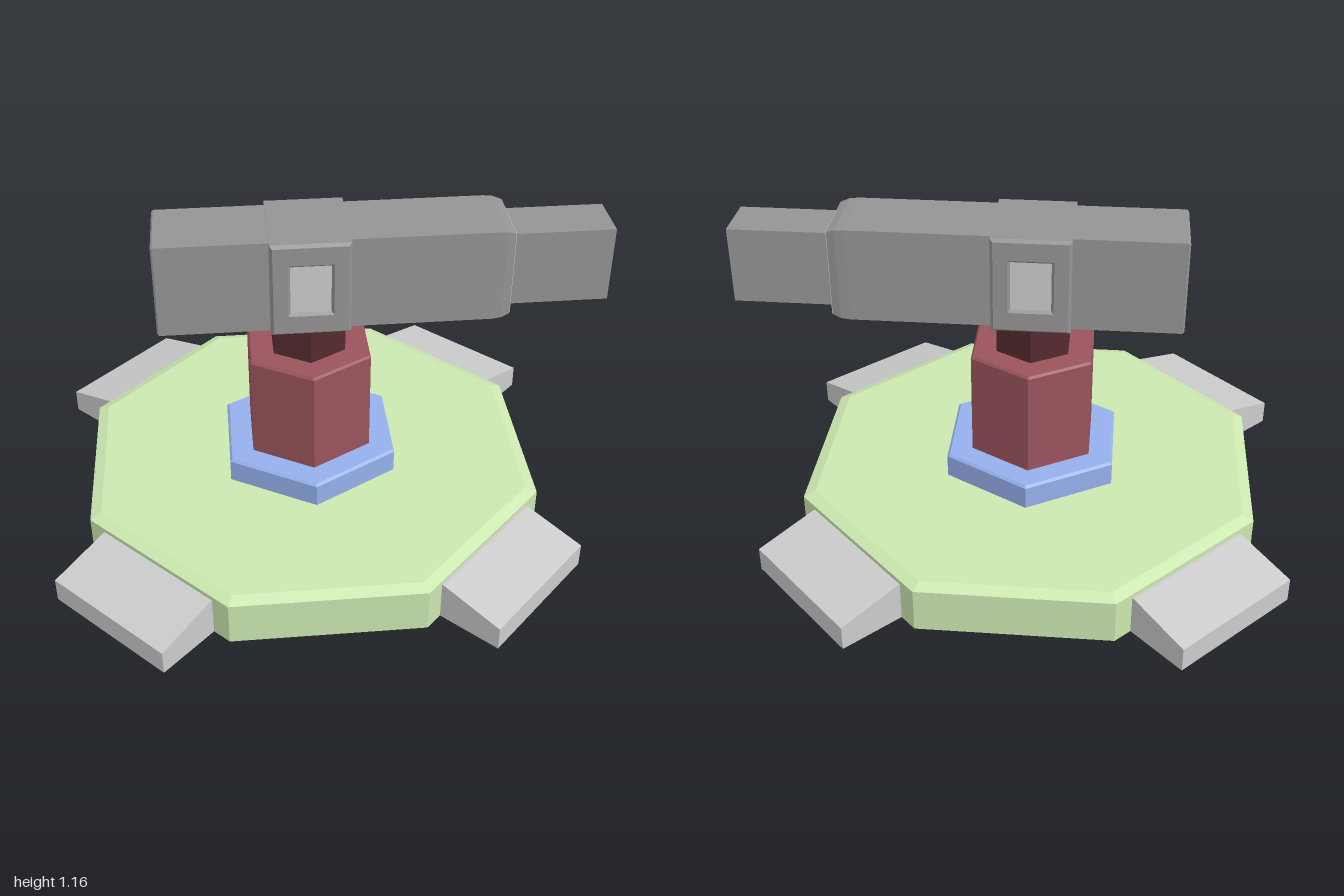
import * as THREE from 'three';

const mat = (color) => new THREE.MeshStandardMaterial({ color, flatShading: true });
const AXIS_X = -0.065; // turret axis
const GUN_Y = 0.979; // centre height of the gun

// Regular prism from [radius, height] steps; the ends close on the axis
function prism(sides, steps, start = 0) {
  const pts = [[0, steps[0][1]], ...steps, [0, steps[steps.length - 1][1]]];
  return new THREE.LatheGeometry(pts.map(([r, y]) => new THREE.Vector2(r, y)), sides, start, Math.PI * 2);
}

// Rectangular bar along x from [half height, x] steps
function bar(steps, depthRatio) {
  const g = prism(4, steps.map(([h, x]) => [h * Math.SQRT2, x]), Math.PI / 4);
  return g.rotateZ(-Math.PI / 2).scale(1, 1, depthRatio);
}

function rectangle(path, x0, y0, x1, y1) {
  path.moveTo(x0, y0);
  path.lineTo(x1, y0);
  path.lineTo(x1, y1);
  path.lineTo(x0, y1);
  path.closePath();
  return path;
}

export function createModel() {
  const model = new THREE.Group();
  const green = mat(0xcce8b0), blue = mat(0x95b0ec), red = mat(0x9a535c);
  const darkRed = mat(0x552a2e), darkGrey = mat(0x949494), grey = mat(0xcccccc);

  function add(name, geometry, material, x = 0, y = 0, z = 0, parent = model) {
    const mesh = new THREE.Mesh(geometry, material);
    mesh.name = name;
    mesh.position.set(x, y, z);
    parent.add(mesh);
    return mesh;
  }

  // Octagonal platform with a shallow chamfer
  add('platform', prism(8, [[0.885, 0], [0.885, 0.163], [0.842, 0.178]], Math.PI / 8), green, AXIS_X);

  // Wedge feet on the diagonals
  const wedge = new THREE.Shape([[0.78, 0], [1.057, 0], [1.057, 0.09], [0.827, 0.147], [0.78, 0.147]]
    .map(([x, y]) => new THREE.Vector2(x, y)));
  const footGeometry = new THREE.ExtrudeGeometry(wedge, { depth: 0.53, bevelEnabled: false });
  footGeometry.translate(0, 0, -0.265);
  for (let i = 0; i < 4; i++) {
    add('foot' + (i + 1), footGeometry, grey, AXIS_X).rotation.y = Math.PI / 4 + i * Math.PI / 2;
  }

  // Hexagonal pedestal in three steps
  add('pedestalCollar', prism(6, [[0.352, 0.17], [0.352, 0.262], [0.342, 0.27]]), blue, AXIS_X);
  add('pedestal', prism(6, [[0.25, 0.265], [0.25, 0.658], [0.242, 0.666]]), red, AXIS_X);
  add('neck', prism(6, [[0.149, 0.66], [0.149, 0.82]]), darkRed, AXIS_X);

  // Gun, built around its own centre line
  const gun = new THREE.Group();
  gun.name = 'gun';
  gun.position.y = GUN_Y;
  model.add(gun);
  add('gunBody', bar([[0.167, -0.598], [0.173, -0.592], [0.173, 0.575], [0.17, 0.61], [0.16, 0.64]], 0.795),
    darkGrey, 0, 0, 0, gun);
  add('frontCap', new THREE.BoxGeometry(0.006, 0.316, 0.252), grey, 0.639, 0, 0, gun);

  // Barrel with a rectangular bore
  const barrelFace = rectangle(new THREE.Shape(), -0.095, -0.14, 0.095, 0.14);
  barrelFace.holes.push(rectangle(new THREE.Path(), -0.024, -0.052, 0.024, 0.052));
  const barrelGeometry = new THREE.ExtrudeGeometry(barrelFace, { depth: 0.38, bevelEnabled: false });
  add('barrel', barrelGeometry.rotateY(Math.PI / 2), darkGrey, 0.62, 0, 0, gun);
  add('bore', new THREE.BoxGeometry(0.36, 0.104, 0.048), grey, 0.81, 0, 0, gun);

  // Wider middle housing with a window on each side
  const housingFace = rectangle(new THREE.Shape(), -0.14, -0.177, 0.14, 0.177);
  housingFace.holes.push(rectangle(new THREE.Path(), -0.07, -0.09, 0.07, 0.09));
  const housingGeometry = new THREE.ExtrudeGeometry(housingFace, {
    depth: 0.322, bevelThickness: 0.012, bevelSize: 0.01, bevelOffset: -0.01, bevelSegments: 1,
  });
  housingGeometry.translate(0, 0, -0.161);
  add('housing', housingGeometry, darkGrey, AXIS_X, 0, 0, gun);
  for (const side of [-1, 1]) {
    add(side > 0 ? 'frontWindow' : 'backWindow', new THREE.BoxGeometry(0.142, 0.182, 0.03), grey,
      AXIS_X, 0, side * 0.147, gun);
  }
  return model;
}
